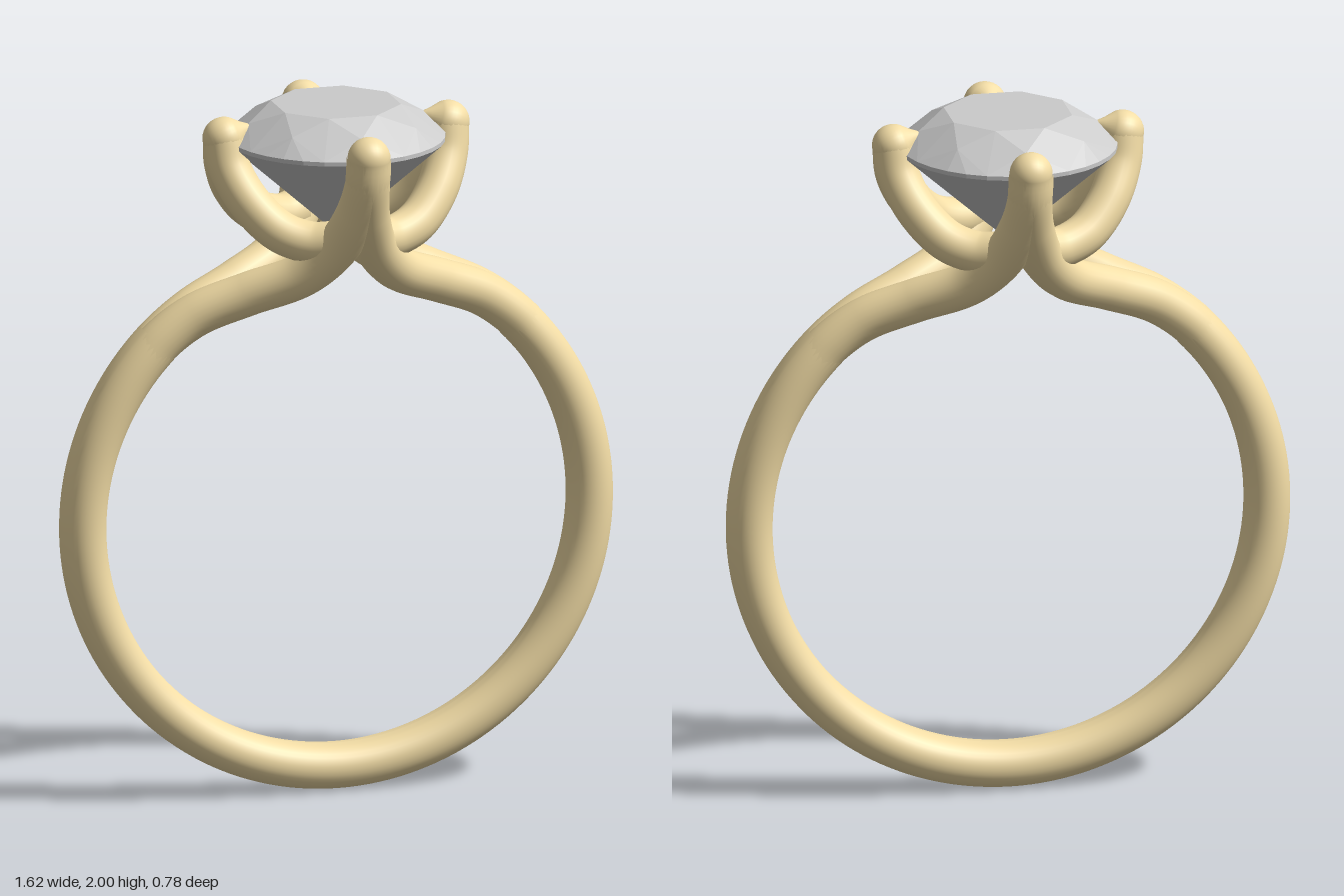
import * as THREE from 'three';
import { ConvexGeometry } from 'three/addons/geometries/ConvexGeometry.js';

const RING_Y = 0.81;   // centre of the hoop
const RING_R = 0.746;  // centreline radius of the hoop
const WIRE = 0.064;    // wire radius
const SPLIT = 0.011;   // half distance between the two fused wires of the hoop
const END = THREE.MathUtils.degToRad(45); // where the hoop divides, above horizontal

const gold = new THREE.MeshStandardMaterial({ color: 0xf3dda6 });
const grey = new THREE.MeshStandardMaterial({ color: 0xcccccc, flatShading: true });

function add(parent, name, geometry, material = gold) {
  const mesh = new THREE.Mesh(geometry, material);
  mesh.name = name;
  parent.add(mesh);
  return mesh;
}

function wire(points, sx, sz, radius) {
  const path = points.map(([x, y, z]) => new THREE.Vector3(x * sx, y, z * sz));
  return new THREE.TubeGeometry(new THREE.CatmullRomCurve3(path), 64, radius, 24);
}

function onHoop(degrees, z) {
  const a = THREE.MathUtils.degToRad(degrees);
  return [RING_R * Math.cos(a), RING_Y + RING_R * Math.sin(a), z];
}

// Hoop: stadium-shaped section turned around the finger axis
function hoopGeometry() {
  const section = [];
  const n = 32;
  for (let i = 0; i <= n; i++) {
    const a = Math.PI + (i / n) * Math.PI * 2;
    const s = Math.sin(a);
    const shift = Math.abs(s) < 1e-6 ? 0 : Math.sign(s) * SPLIT;
    section.push(new THREE.Vector2(RING_R + WIRE * Math.cos(a), WIRE * s + shift));
  }
  const reach = Math.PI / 2 + END;
  return new THREE.LatheGeometry(section, 128, -reach, reach * 2)
    .rotateX(Math.PI / 2)
    .translate(0, RING_Y, 0);
}

// Claw tip: round back drawn out to a point that leans on the stone
function clawGeometry() {
  const profile = [];
  for (let i = 0; i <= 14; i++) {
    const a = -Math.PI / 2 + (i / 14) * Math.PI * 0.7;
    profile.push(new THREE.Vector2(Math.max(0, 0.061 * Math.cos(a)), 0.061 * Math.sin(a)));
  }
  profile.push(new THREE.Vector2(0.026, 0.06), new THREE.Vector2(0.012, 0.078), new THREE.Vector2(0, 0.088));
  return new THREE.LatheGeometry(profile, 28)
    .rotateZ(Math.PI / 2 - 0.35)
    .translate(0.33, 1.92, 0);
}

// Brilliant-cut stone: rings of facet corners wrapped in a convex hull
function stoneGeometry() {
  const points = [new THREE.Vector3(0, 1.62, 0)];
  const ring = (count, radius, y, turn) => {
    for (let i = 0; i < count; i++) {
      const a = ((i + turn) / count) * Math.PI * 2;
      points.push(new THREE.Vector3(radius * Math.cos(a), y, radius * Math.sin(a)));
    }
  };
  ring(8, 0.185, 2.0, 0.5);    // table
  ring(8, 0.258, 1.957, 0);    // crown
  ring(32, 0.31, 1.906, 0);    // girdle
  ring(32, 0.31, 1.894, 0);
  ring(8, 0.085, 1.692, 0.5);  // pavilion
  return new ConvexGeometry(points);
}

export function createModel() {
  const model = new THREE.Group();
  model.name = 'ring';

  add(model, 'hoop', hoopGeometry());

  // Shoulder wire: leaves the hoop, sweeps outward and rises into a front or back prong
  const shoulder = [
    onHoop(38, SPLIT), onHoop(46, SPLIT + 0.003), [0.42, 1.418, 0.027], [0.28, 1.478, 0.068],
    [0.14, 1.54, 0.135], [0.06, 1.625, 0.195], [0.015, 1.74, 0.267],
    [0, 1.85, 0.318], [0, 1.92, 0.33],
  ];
  // Side prong leg: drops from a side claw to the shoulder wires
  const leg = [
    [0.33, 1.92, 0], [0.32, 1.84, 0.022], [0.275, 1.745, 0.075],
    [0.2, 1.668, 0.125], [0.12, 1.64, 0.16], [0.06, 1.645, 0.19],
  ];

  for (const sx of [1, -1]) {
    for (const sz of [1, -1]) {
      const place = `${sz > 0 ? 'front' : 'back'}${sx > 0 ? 'Left' : 'Right'}`;
      add(model, `${place}Shoulder`, wire(shoulder, sx, sz, WIRE - 0.001));
      add(model, `${place}ProngLeg`, wire(leg, sx, sz, 0.06));
    }
  }

  // Four claws around the stone
  const claw = clawGeometry();
  ['leftClaw', 'backClaw', 'rightClaw', 'frontClaw'].forEach((name, i) => {
    add(model, name, claw).rotation.y = (i * Math.PI) / 2;
  });

  add(model, 'stone', stoneGeometry(), grey);
  return model;
}
